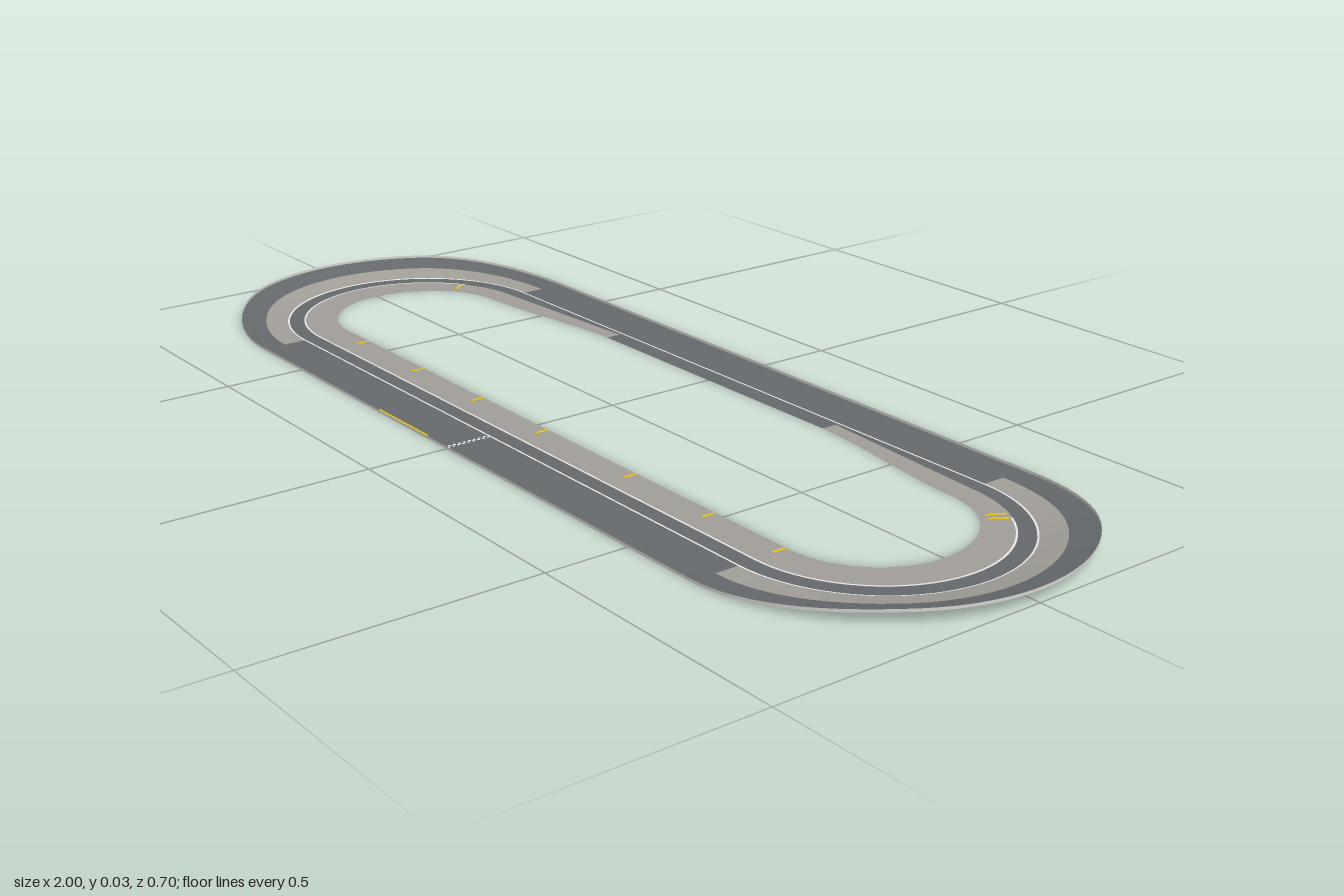
import * as THREE from 'three';

const END = 0.65;      // centre of each bend on x
const OUTER = 0.35;    // outer radius of the bends
const BANK_R = 0.256;  // banking starts outside this radius

const mat = (name, color) => {
  const m = new THREE.MeshStandardMaterial({ color, side: THREE.DoubleSide });
  m.name = name;
  return m;
};

// Point on the oval. s: 0-1 front straight, 1-2 left bend (+x), 2-3 back straight, 3-4 right bend (-x)
function point(s, r, lift = 0) {
  const leg = Math.min(3, Math.floor(s));
  const f = s - leg;
  let cx, nx = 0, nz = 1, bank = 0;
  if (leg % 2 === 0) {
    nz = leg === 0 ? 1 : -1;
    cx = nz * (-END + 2 * END * f);
  } else {
    const side = leg === 1 ? 1 : -1;
    const t = Math.PI * f;
    cx = side * END;
    nx = side * Math.sin(t);
    nz = side * Math.cos(t);
    bank = THREE.MathUtils.smoothstep(Math.min(f, 1 - f), 0, 0.32);
  }
  const rise = Math.max(0, r - BANK_R) / (OUTER - BANK_R) * 0.02;
  return [cx + nx * r, bank * rise + lift, nz * r];
}

// Strip between two edges along the oval; radii may be numbers or functions of s
function ribbon(group, name, material, s0, s1, r0, r1, lift0 = 0, lift1 = lift0) {
  const n = Math.max(1, Math.ceil((s1 - s0) * 40));
  const val = (v, s) => (typeof v === 'function' ? v(s) : v);
  const pos = [], idx = [];
  for (let i = 0; i <= n; i++) {
    const s = s0 + (s1 - s0) * i / n;
    pos.push(...point(s, val(r0, s), lift0), ...point(s, val(r1, s), lift1));
    if (i < n) {
      const a = i * 2;
      idx.push(a, a + 1, a + 3, a, a + 3, a + 2);
    }
  }
  const g = new THREE.BufferGeometry();
  g.setAttribute('position', new THREE.Float32BufferAttribute(pos, 3));
  g.setIndex(idx);
  g.computeVertexNormals();
  const mesh = new THREE.Mesh(g, material);
  mesh.name = name;
  group.add(mesh);
}

export function createModel() {
  const root = new THREE.Group();
  root.name = 'ovalTrack';
  const asphalt = mat('asphalt', 0x65696c);
  const concrete = mat('concrete', 0xa19e98);
  const white = mat('whitePaint', 0xf4f4f4);
  const yellow = mat('yellowPaint', 0xf2cc0c);
  const wall = mat('wallGrey', 0xd2d2ce);
  const sx = x => (x + END) / (2 * END); // front straight x to s

  // Racing surface, banked in the bends
  ribbon(root, 'outerLane', asphalt, 0, 4, 0.303, OUTER);
  for (const leg of [0, 1, 2, 3]) {
    const bend = leg % 2 === 1;
    ribbon(root, bend ? 'bendLane' : 'straightLane', bend ? concrete : asphalt, leg, leg + 1, 0.26, 0.303);
  }
  ribbon(root, 'innerLine', white, 0, 4, 0.2565, 0.26);

  // Low outer wall
  ribbon(root, 'outerWall', wall, 0, 4, OUTER, OUTER, 0, 0.005);

  // Flat apron and inner road along the front and both bends
  const eased = f => THREE.MathUtils.smoothstep(f, 0.5, 1);
  const inner = s => {
    if (s <= 1) return 0.162;
    return 0.162 + 0.018 * (s <= 2 ? eased(s - 1) : eased(4 - s));
  };
  for (const [a, b] of [[0, 2], [3, 4]]) {
    ribbon(root, 'apron', asphalt, a, b, 0.228, 0.2565);
    ribbon(root, 'innerRoad', concrete, a, b, inner, 0.228);
  }

  // Line dividing apron and inner road, open towards the back straight
  const lift = 0.0006;
  for (const [a, b] of [[0, 1.82], [3.18, 4]]) {
    ribbon(root, 'innerRoadLine', white, a, b, 0.2245, 0.228, lift);
  }

  // Back straight: concrete wedges narrow into the dark apron
  const wedge = 0.262;
  const k = s => Math.min(1, Math.min(s - 2, 3 - s) / wedge);
  const wedgeIn = s => 0.18 + 0.04 * (0.3 * k(s) + 0.7 * THREE.MathUtils.smoothstep(k(s), 0, 1));
  const wedgeOut = s => 0.228 + 0.022 * k(s);
  for (const [a, b] of [[2, 2 + wedge], [3 - wedge, 3]]) {
    ribbon(root, 'mergeRoad', concrete, a, b, wedgeIn, wedgeOut);
    ribbon(root, 'mergeApron', asphalt, a, b, wedgeOut, 0.2565);
  }
  ribbon(root, 'backApron', asphalt, 2 + wedge, 3 - wedge, 0.22, 0.2565);

  // Chequered start line: white squares on the asphalt
  const cell = 0.005;
  for (let row = 0; row < 17; row++) {
    const x = -0.005 - (row % 2) * cell;
    const r = 0.261 + row * cell;
    ribbon(root, 'startLine', white, sx(x), sx(x + cell), r, r + cell, lift);
  }

  // Yellow strip beside the outer wall
  ribbon(root, 'startStrip', yellow, sx(-0.23), sx(-0.07), 0.34, 0.347, lift);

  // Marks on the inner road
  for (const x of [-0.57, -0.37, -0.17, 0.03, 0.28, 0.48, 0.645]) {
    ribbon(root, 'roadMark', yellow, sx(x - 0.003), sx(x + 0.003), 0.164, 0.188, lift);
  }
  for (const s of [1.815, 1.84, 3.185]) {
    ribbon(root, 'bendMark', yellow, s, s + 0.009, 0.19, 0.222, lift);
  }
  return root;
}
